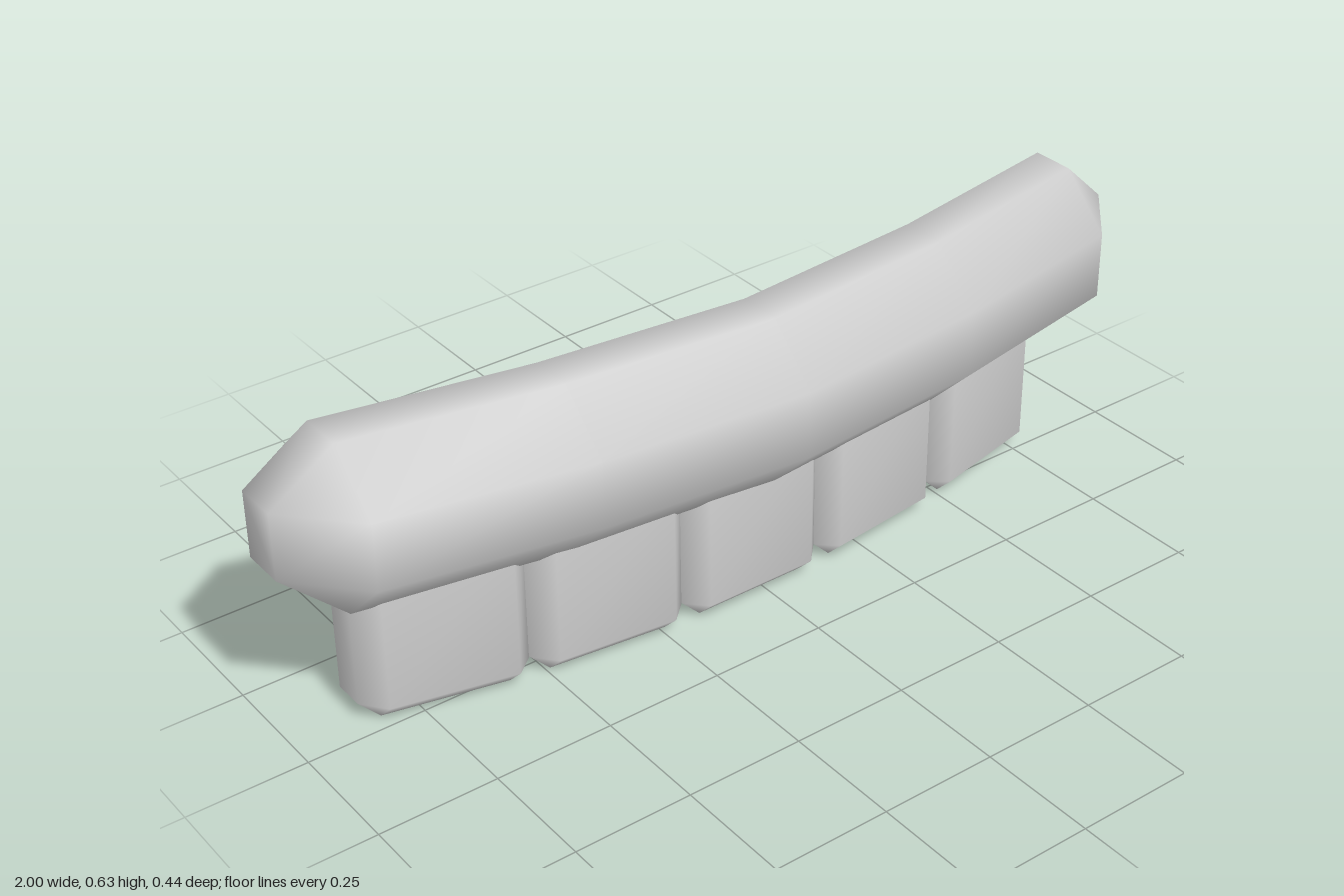
import * as THREE from 'three';

const material = new THREE.MeshStandardMaterial({ color: 0xcccccc });

// Chamfered block along x, bent through stations [x, z centre]; first and last are the shrunken end faces
function chamferedBlock(name, stations, halfDepth, yMin, yMax, chamfer) {
  const yMid = (yMin + yMax) / 2, halfHeight = (yMax - yMin) / 2;
  const corners = [[1, -1], [1, 1], [-1, 1], [-1, -1]];
  const positions = [], index = [];
  const last = stations.length - 1;

  const rings = stations.map(([x, z], s) => {
    const ring = [];
    const add = (dz, dy) => positions.push(x, yMid + dy, z + dz) / 3 - 1;
    corners.forEach(([sz, sy], k) => {
      const zIn = sz * (halfDepth - chamfer), yIn = sy * (halfHeight - chamfer);
      if (s === 0 || s === last) {
        const i = add(zIn, yIn);
        ring.push(i, i);
      } else {
        const pair = [[zIn, sy * halfHeight], [sz * halfDepth, yIn]];
        if (k % 2) pair.reverse();
        pair.forEach(p => ring.push(add(...p)));
      }
    });
    return ring;
  });

  const tri = (a, b, c) => {
    if (a !== b && b !== c && a !== c) index.push(a, b, c);
  };
  for (let s = 0; s < last; s++) {
    for (let j = 0; j < 8; j++) {
      const n = (j + 1) % 8, a = rings[s], b = rings[s + 1];
      tri(a[j], b[j], b[n]);
      tri(a[j], b[n], a[n]);
    }
  }
  // End faces
  const [p, q] = [rings[0], rings[last]];
  tri(p[0], p[2], p[4]);
  tri(p[0], p[4], p[6]);
  tri(q[0], q[4], q[2]);
  tri(q[0], q[6], q[4]);

  const geometry = new THREE.BufferGeometry();
  geometry.setAttribute('position', new THREE.Float32BufferAttribute(positions, 3));
  geometry.setIndex(index);
  geometry.computeVertexNormals();
  const mesh = new THREE.Mesh(geometry, material);
  mesh.name = name;
  return mesh;
}

export function createModel() {
  const group = new THREE.Group();
  group.name = 'curvedBarWithBlocks';

  // Upper bar, its ends curving backwards
  const half = [[0, 0.057], [0.445, 0.015], [0.875, -0.065], [1, -0.0925]];
  const path = [...half.slice(1).reverse().map(([x, z]) => [-x, z]), ...half];
  group.add(chamferedBlock('upperBar', path, 0.158, 0.27, 0.635, 0.111));

  // Row of five blocks below, following the same curve
  const rowCentre = -0.03, pitch = 0.334, bevel = 0.04;
  const curve = x => 0.037 - 0.17 * (x - rowCentre) ** 2;
  for (let i = -2; i <= 2; i++) {
    const x = rowCentre + i * pitch, w = pitch / 2 - 0.001;
    const stations = [-w, -w + bevel, w - bevel, w].map(d => [x + d, curve(x + d)]);
    group.add(chamferedBlock(`lowerBlock${i + 3}`, stations, 0.073, 0, 0.4, bevel));
  }
  return group;
}
